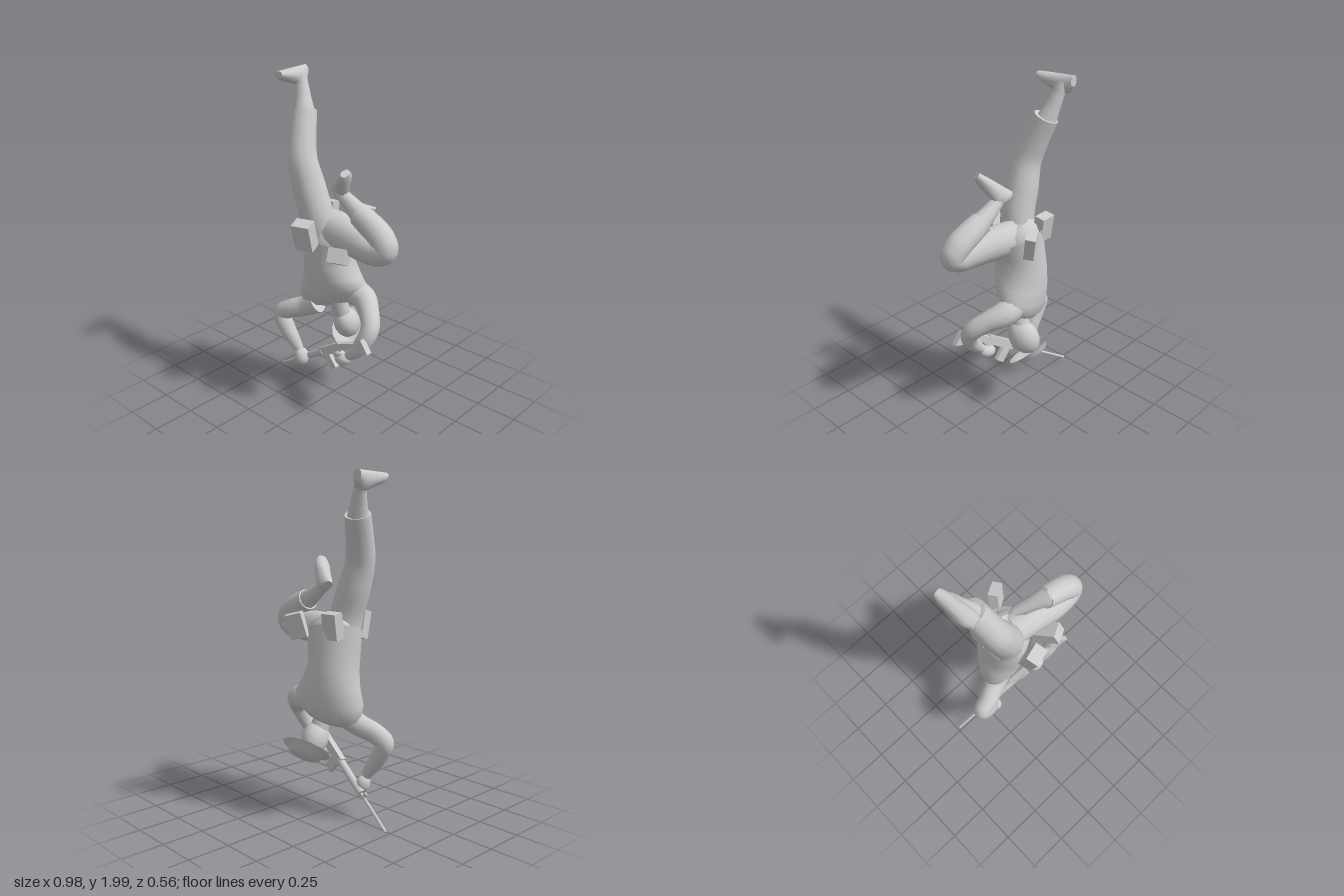
import * as THREE from 'three';

const V = (x, y, z) => new THREE.Vector3(x, y, z);

export function createModel() {
  const root = new THREE.Group();
  root.name = 'upsideDownFigure';
  const grey = new THREE.MeshStandardMaterial({ color: 0xcccccc, side: THREE.DoubleSide });
  grey.name = 'plain grey';

  const add = (name, geo, parent = root) => {
    const m = new THREE.Mesh(geo, grey);
    m.name = name;
    parent.add(m);
    return m;
  };

  // Skin a list of rings (arrays of equal length), closing the chosen ends
  function skin(rings, capEnds = [true, true]) {
    const n = rings[0].length, pos = [], idx = [];
    rings.forEach(r => r.forEach(p => pos.push(p.x, p.y, p.z)));
    for (let i = 0; i < rings.length - 1; i++)
      for (let j = 0; j < n; j++) {
        const a = i * n + j, b = i * n + (j + 1) % n;
        idx.push(a, b, a + n, b, b + n, a + n);
      }
    [0, rings.length - 1].forEach((k, e) => {
      if (!capEnds[e]) return;
      const c = rings[k].reduce((s, p) => s.add(p), V(0, 0, 0)).divideScalar(n);
      const base = pos.length / 3;
      rings[k].forEach(p => pos.push(p.x, p.y, p.z));
      pos.push(c.x, c.y, c.z);
      for (let j = 0; j < n; j++) {
        const a = base + j, b = base + (j + 1) % n;
        e ? idx.push(a, b, base + n) : idx.push(b, a, base + n);
      }
    });
    const g = new THREE.BufferGeometry();
    g.setAttribute('position', new THREE.Float32BufferAttribute(pos, 3));
    g.setIndex(idx);
    g.computeVertexNormals();
    return g;
  }

  // Round limb through [x, y, z, radius] stations
  function limb(name, pts, sides = 14, steps = 5) {
    const curve = new THREE.CatmullRomCurve3(pts.map(p => V(p[0], p[1], p[2])), false, 'centripetal');
    const total = (pts.length - 1) * steps, rings = [];
    let side = V(0.3, 0.2, 1);
    for (let i = 0; i <= total; i++) {
      const t = i / total, k = Math.min(Math.floor(i / steps), pts.length - 2), f = i / steps - k;
      const c = curve.getPoint(t), d = curve.getTangent(t);
      side = side.clone().addScaledVector(d, -side.dot(d)).normalize();
      const up = V(0, 0, 0).crossVectors(d, side);
      const r = THREE.MathUtils.lerp(pts[k][3], pts[k + 1][3], f);
      rings.push(Array.from({ length: sides }, (_, j) => {
        const a = j / sides * Math.PI * 2;
        return c.clone().addScaledVector(side, Math.cos(a) * r).addScaledVector(up, Math.sin(a) * r);
      }));
    }
    return add(name, skin(rings));
  }

  // Stacked ellipses: [cx, cy, cz, rx, rz, tiltX, yaw, tiltZ]
  function stack(name, rows, caps, sides = 24) {
    return add(name, skin(rows.map(([x, y, z, rx, rz, tx, yaw, tz]) =>
      Array.from({ length: sides }, (_, j) => {
        const a = j / sides * Math.PI * 2;
        return V(Math.cos(a) * rx, 0, Math.sin(a) * rz)
          .applyEuler(new THREE.Euler(tx, yaw, tz, 'ZXY')).add(V(x, y, z));
      })), caps));
  }

  // Jacket, with an open tilted hem, and the hips inside it
  stack('jacket', [
    [-0.04, 1.105, 0.0, 0.17, 0.155, 0.28, 0.15, -0.22],
    [-0.05, 1.0, -0.005, 0.155, 0.152, 0.2, 0.15, -0.12],
    [-0.055, 0.9, -0.015, 0.15, 0.154, 0.1, 0.2, 0.03],
    [-0.045, 0.8, -0.03, 0.178, 0.15, 0, 0.3, 0.1],
    [-0.04, 0.715, -0.035, 0.212, 0.142, -0.08, 0.35, 0.24],
    [-0.04, 0.65, -0.04, 0.208, 0.122, -0.15, 0.38, 0.34],
    [-0.035, 0.61, -0.04, 0.165, 0.09, -0.2, 0.38, 0.4],
    [-0.02, 0.598, -0.04, 0.06, 0.04, -0.2, 0.38, 0.4],
  ], [false, true]);
  stack('hips', [
    [-0.05, 1.0, 0, 0.14, 0.135, 0.25, 0.15, -0.12],
    [-0.045, 1.08, 0, 0.152, 0.142, 0.28, 0.15, -0.2],
    [-0.035, 1.14, -0.005, 0.13, 0.115, 0.3, 0.15, -0.2],
    [-0.03, 1.18, -0.01, 0.07, 0.06, 0.3, 0.15, -0.2],
  ], [true, true]);

  // Trouser legs and bare shins
  limb('rightTrouserLeg', [[-0.08, 1.04, 0.03, 0.1], [-0.09, 1.18, 0.05, 0.1], [-0.14, 1.35, 0.062, 0.098],
    [-0.183, 1.5, 0.067, 0.087], [-0.215, 1.63, 0.03, 0.079], [-0.247, 1.765, -0.02, 0.073]]);
  limb('rightShin', [[-0.25, 1.75, -0.02, 0.062], [-0.275, 1.82, -0.04, 0.047], [-0.3, 1.89, -0.057, 0.037],
    [-0.325, 1.95, -0.065, 0.038]], 10);
  limb('leftTrouserLeg', [[0.0, 1.1, 0.0, 0.1], [0.12, 1.1, 0.02, 0.098], [0.27, 1.09, 0.05, 0.09],
    [0.38, 1.085, 0.057, 0.078], [0.422, 1.11, 0.053, 0.071], [0.385, 1.165, 0.045, 0.075],
    [0.31, 1.212, 0.038, 0.073], [0.22, 1.257, 0.033, 0.066]]);
  limb('leftShin', [[0.235, 1.25, 0.033, 0.06], [0.17, 1.29, 0.03, 0.05], [0.11, 1.33, 0.03, 0.04],
    [0.055, 1.365, 0.03, 0.037]], 10);

  // Feet: stations from heel to toe as [along, half width, depth below sole]
  function foot(name, heel, toe, sole) {
    const d = toe.clone().sub(heel).normalize();
    const n = sole.clone().addScaledVector(d, -sole.dot(d)).normalize();
    const s = V(0, 0, 0).crossVectors(n, d);
    const rings = [[0, 0.028, 0.06], [0.03, 0.038, 0.1], [0.07, 0.041, 0.105], [0.11, 0.043, 0.088],
      [0.16, 0.048, 0.07], [0.2, 0.046, 0.056], [0.235, 0.03, 0.036]].map(([t, w, h]) =>
      Array.from({ length: 12 }, (_, j) => {
        const a = j / 12 * Math.PI * 2;
        const y = Math.max(-h, Math.min(0, -h / 2 + Math.sin(a) * h * 0.56));
        return heel.clone().addScaledVector(d, t).addScaledVector(s, Math.cos(a) * w).addScaledVector(n, y);
      }));
    add(name, skin(rings));
  }
  foot('rightFoot', V(-0.35, 1.995, -0.125), V(-0.325, 1.985, 0.11), V(-0.15, 1, 0));
  foot('leftFoot', V(0.0, 1.38, 0.01), V(0.15, 1.502, 0.1), V(-0.65, 0.76, 0.1));

  // Arms and hands
  limb('rightArm', [[-0.12, 0.61, 0.02, 0.075], [-0.2, 0.56, 0.05, 0.064], [-0.29, 0.523, 0.085, 0.059],
    [-0.355, 0.478, 0.1, 0.056], [-0.325, 0.405, 0.1, 0.053], [-0.28, 0.33, 0.09, 0.045], [-0.235, 0.255, 0.075, 0.03]]);
  limb('leftArm', [[0.08, 0.705, -0.09, 0.08], [0.16, 0.683, -0.085, 0.075], [0.25, 0.642, -0.028, 0.061],
    [0.312, 0.58, 0.035, 0.055], [0.3, 0.51, 0.07, 0.052], [0.25, 0.43, 0.085, 0.044], [0.195, 0.375, 0.085, 0.03]]);
  function hand(name, c, size, spin) {
    const h = add(name, new THREE.SphereGeometry(1, 12, 8));
    h.position.set(...c);
    h.scale.set(...size);
    h.rotation.z = spin;
  }
  hand('rightHand', [-0.22, 0.2, 0.065], [0.043, 0.058, 0.048], 0.3);
  hand('leftHand', [0.145, 0.335, 0.08], [0.06, 0.04, 0.045], 0.2);
  hand('leftThumb', [0.12, 0.365, 0.1], [0.035, 0.018, 0.02], 0.5);

  // Neck, head and shallow brimmed helmet
  limb('neck', [[-0.015, 0.67, -0.03, 0.06], [-0.005, 0.6, -0.05, 0.052], [0.005, 0.51, -0.08, 0.056]], 12);
  const headAxis = V(-0.17, -0.75, -0.64).normalize();
  const headTurn = new THREE.Quaternion().setFromUnitVectors(V(0, 1, 0), headAxis);
  const head = add('head', new THREE.SphereGeometry(1, 18, 14));
  head.position.set(0.012, 0.463, -0.104);
  head.scale.set(0.079, 0.11, 0.092);
  head.quaternion.copy(headTurn);
  const helmet = add('helmet', new THREE.LatheGeometry(
    [[0.147, 0], [0.112, 0.014], [0.095, 0.042], [0.06, 0.053], [0, 0.058]].map(p => new THREE.Vector2(...p)), 16));
  helmet.position.set(0.022, 0.408, -0.162);
  helmet.quaternion.copy(headTurn);

  // Belt pouches: centre, size, rotation
  [
    ['frontPouch', [-0.035, 1.118, 0.208], [0.11, 0.168, 0.078], [0.3, 0.28, 0]],
    ['leftPouch', [0.158, 1.02, 0.135], [0.1, 0.155, 0.085], [1.1, 0.35, -0.15]],
    ['backPouch', [0.06, 1.14, -0.196], [0.1, 0.145, 0.058], [-0.12, 0.58, -0.25]],
    ['rightBackPouch', [-0.142, 1.15, -0.105], [0.1, 0.15, 0.065], [-0.15, 0.08, 0]],
  ].forEach(([name, c, size, rot]) => {
    const p = add(name, new THREE.BoxGeometry(...size));
    p.position.set(...c);
    p.rotation.set(rot[0], rot[1], rot[2], 'YXZ');
  });

  // Rifle: local x runs from muzzle to butt, local y is its upper side
  const rifle = new THREE.Group();
  rifle.name = 'rifle';
  const rx = V(0.834, 0.551, 0.14).normalize();
  const rz = V(0, 0, 0).crossVectors(rx, V(-0.551, 0.834, 0)).normalize();
  rifle.quaternion.setFromRotationMatrix(new THREE.Matrix4().makeBasis(rx, V(0, 0, 0).crossVectors(rz, rx), rz));
  rifle.position.set(-0.482, 0.01, -0.018);
  root.add(rifle);
  const rod = (name, a, b, r) => {
    const g = new THREE.CylinderGeometry(r, r, b - a, 10).rotateZ(Math.PI / 2).translate((a + b) / 2, 0, 0);
    return add(name, g, rifle);
  };
  rod('barrel', 0, 0.4, 0.009);
  rod('handguard', 0.28, 0.54, 0.023);
  const block = (name, x, y, w, h, d, spin = 0) => {
    const m = add(name, new THREE.BoxGeometry(w, h, d), rifle);
    m.position.set(x, y, 0);
    m.rotation.z = spin;
  };
  block('frontSight', 0.25, 0.016, 0.018, 0.035, 0.012);
  block('receiver', 0.635, 0, 0.23, 0.055, 0.035);
  block('magazine', 0.575, -0.07, 0.06, 0.1, 0.026, 0.1);
  block('grip', 0.72, -0.05, 0.03, 0.07, 0.024, 0.3);
  const stock = new THREE.Shape([[0.74, 0.022], [0.74, -0.022], [0.84, -0.032], [0.985, -0.087], [0.98, 0.006], [0.9, -0.002]]
    .map(p => new THREE.Vector2(...p)));
  add('stock', new THREE.ExtrudeGeometry(stock, { depth: 0.034, bevelEnabled: false }).translate(0, 0, -0.017), rifle);

  return root;
}
